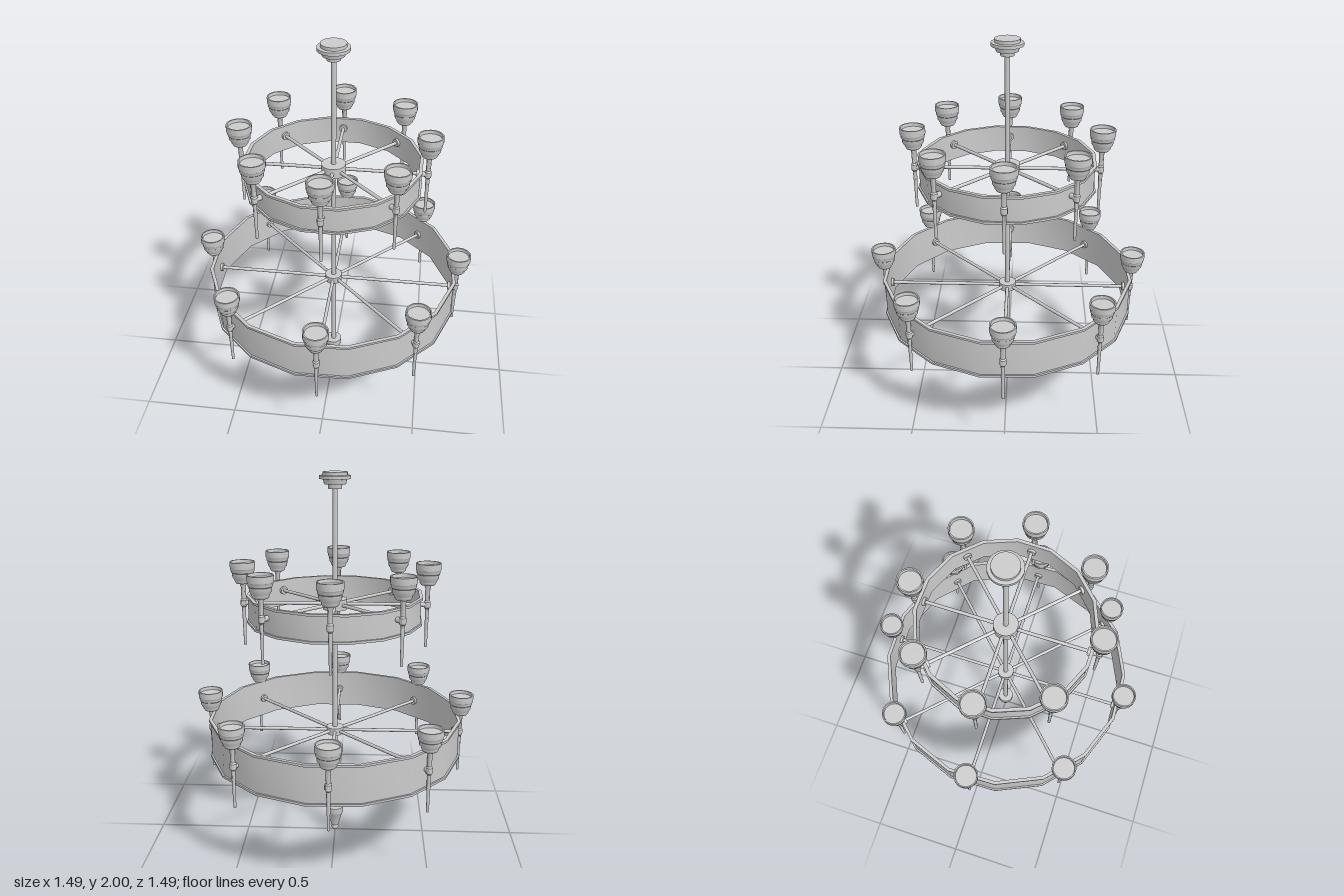
import * as THREE from 'three';
import { toCreasedNormals } from 'three/addons/utils/BufferGeometryUtils.js';

const material = new THREE.MeshStandardMaterial({ color: 0xcccccc });

function add(parent, name, geometry) {
  const mesh = new THREE.Mesh(geometry, material);
  mesh.name = name;
  parent.add(mesh);
  return mesh;
}

// Revolved profile of [radius, y] points listed upward along the outside
function turned(points, segments, phi = 0) {
  const profile = points.map(([r, y]) => new THREE.Vector2(r, y));
  return toCreasedNormals(new THREE.LatheGeometry(profile, segments, phi), 0.6);
}

// Cylinder lying along +z from z0 to z1
function bar(radius, z0, z1, segments = 12) {
  return new THREE.CylinderGeometry(radius, radius, z1 - z0, segments)
    .rotateX(Math.PI / 2).translate(0, 0, (z0 + z1) / 2);
}

// Torch-like lamp; y = 0 is the height of its bracket
const cup = turned([
  [0, 0.105], [0.036, 0.105], [0.043, 0.116], [0.043, 0.122], [0.054, 0.138],
  [0.056, 0.16], [0.06, 0.164], [0.062, 0.18], [0.065, 0.184], [0.065, 0.217],
  [0.058, 0.217], [0.056, 0.2], [0, 0.2],
], 24);
const stem = turned([
  [0, -0.228], [0.007, -0.228], [0.009, -0.1], [0.011, -0.022], [0.017, -0.015],
  [0.017, 0.015], [0.012, 0.022], [0.013, 0.085], [0.02, 0.106], [0, 0.106],
], 12);

function tier({ name, y, bottom, top, radius, phi, lampRadius, hubRadius, hubHeight }) {
  const group = new THREE.Group();
  group.name = name;
  const rim = radius + 0.009, inner = radius - 0.009, lip = 0.012;

  // Sixteen-sided band with a raised lip along both edges
  add(group, 'band', turned([
    [inner, bottom], [rim, bottom], [rim, bottom + lip], [radius, bottom + lip],
    [radius, top - lip], [rim, top - lip], [rim, top], [inner, top], [inner, bottom],
  ], 16, phi));

  // Hub on the rod
  add(group, 'hub', new THREE.CylinderGeometry(hubRadius, hubRadius, hubHeight, 24)).position.y = y;

  // Eight spokes, each carrying a lamp outside the band
  const wall = radius * 0.981;
  for (let i = 0; i < 8; i++) {
    const arm = new THREE.Group();
    arm.name = 'arm';
    arm.position.y = y;
    arm.rotation.y = i * Math.PI / 4;
    add(arm, 'spoke', bar(0.009, 0.01, lampRadius));
    add(arm, 'innerFlange', bar(0.022, wall - 0.022, wall - 0.006, 16));
    add(arm, 'bracket', bar(0.014, wall - 0.005, lampRadius));
    add(arm, 'lampStem', stem).position.z = lampRadius;
    add(arm, 'lampCup', cup).position.z = lampRadius;
    group.add(arm);
  }
  return group;
}

export function createModel() {
  const model = new THREE.Group();
  model.name = 'chandelier';

  // Ceiling canopy
  add(model, 'canopy', turned([
    [0, 1.918], [0.034, 1.918], [0.036, 1.938], [0.055, 1.94], [0.06, 1.964], [0.08, 1.966],
    [0.08, 1.982], [0.063, 1.984], [0.063, 2], [0, 2],
  ], 24));

  // Central rod
  add(model, 'rod', new THREE.CylinderGeometry(0.013, 0.013, 1.8, 16)).position.y = 1.03;

  // Bottom finial with a ball tip
  add(model, 'finial', turned([
    [0, 0.034], [0.02, 0.034], [0.025, 0.052], [0.041, 0.11], [0.045, 0.116], [0.045, 0.15], [0, 0.15],
  ], 20));
  add(model, 'finialBall', new THREE.SphereGeometry(0.02, 16, 12)).position.y = 0.02;

  model.add(tier({
    name: 'lowerTier', y: 0.623, bottom: 0.515, top: 0.73, radius: 0.671,
    phi: THREE.MathUtils.degToRad(13), lampRadius: 0.68, hubRadius: 0.046, hubHeight: 0.04,
  }));
  model.add(tier({
    name: 'upperTier', y: 1.333, bottom: 1.245, top: 1.39, radius: 0.45,
    phi: THREE.MathUtils.degToRad(10), lampRadius: 0.478, hubRadius: 0.063, hubHeight: 0.055,
  }));
  return model;
}
